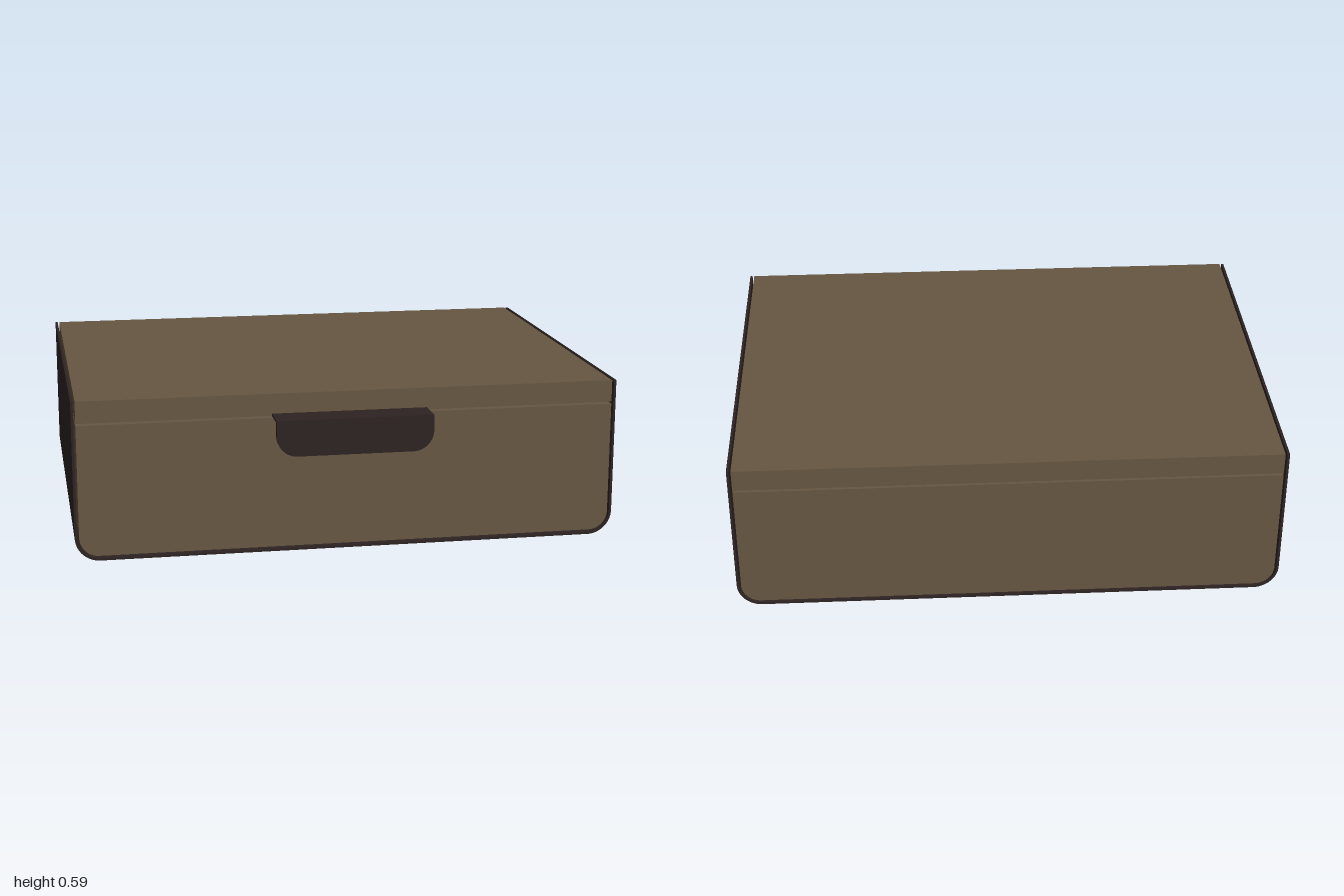
import * as THREE from 'three';
import { toCreasedNormals } from 'three/addons/utils/BufferGeometryUtils.js';

const BACK = -0.795, FRONT = 0.68;

// Adds the rounded lower outline, from the upper left down and round to the upper right
function traceU(path, w, top, bottom, r) {
  path.moveTo(-w, top);
  path.lineTo(-w, bottom + r);
  path.absarc(-w + r, bottom + r, r, Math.PI, Math.PI * 1.5, false);
  path.lineTo(w - r, bottom);
  path.absarc(w - r, bottom + r, r, Math.PI * 1.5, Math.PI * 2, false);
  path.lineTo(w, top);
  return path;
}

function extrude(shape, z0, z1) {
  const geo = new THREE.ExtrudeGeometry(shape, { depth: z1 - z0, bevelEnabled: false, curveSegments: 12 });
  geo.translate(0, 0, z0);
  return toCreasedNormals(geo, 0.5);
}

export function createModel() {
  const group = new THREE.Group();
  const wood = new THREE.MeshStandardMaterial({ color: 0x675742 });
  wood.name = 'brown wood';
  const dark = new THREE.MeshStandardMaterial({ color: 0x2e2323 });
  dark.name = 'dark leather';

  const add = (name, geo, mat) => {
    const mesh = new THREE.Mesh(geo, mat);
    mesh.name = name;
    group.add(mesh);
    return mesh;
  };
  const box = (name, x, y0, y1, z0, z1, mat) => {
    const mesh = add(name, new THREE.BoxGeometry(2 * x, y1 - y0, z1 - z0), mat);
    mesh.position.set(0, (y0 + y1) / 2, (z0 + z1) / 2);
  };

  // Thin wrap running down both sides and under the box
  const wrap = traceU(new THREE.Shape(), 1, 0.59, 0, 0.09);
  const inner = traceU(new THREE.Path(), 0.991, 0.59, 0.009, 0.081).getPoints(12).reverse();
  inner.forEach((p) => wrap.lineTo(p.x, p.y));
  add('outerWrap', extrude(wrap, BACK, FRONT), dark);

  // Box body, with a narrow gap to the wrap
  add('boxBody', extrude(traceU(new THREE.Shape(), 0.984, 0.501, 0.018, 0.07), BACK, FRONT), wood);

  // Lid slab above the seam
  box('lid', 0.984, 0.509, 0.59, BACK, FRONT, wood);

  // Pull tab: thin shelf and hanging front plate
  box('tabShelf', 0.285, 0.509, 0.517, 0.6, 0.79, dark);
  add('tabPlate', extrude(traceU(new THREE.Shape(), 0.285, 0.517, 0.385, 0.075), 0.78, 0.795), dark);

  return group;
}
